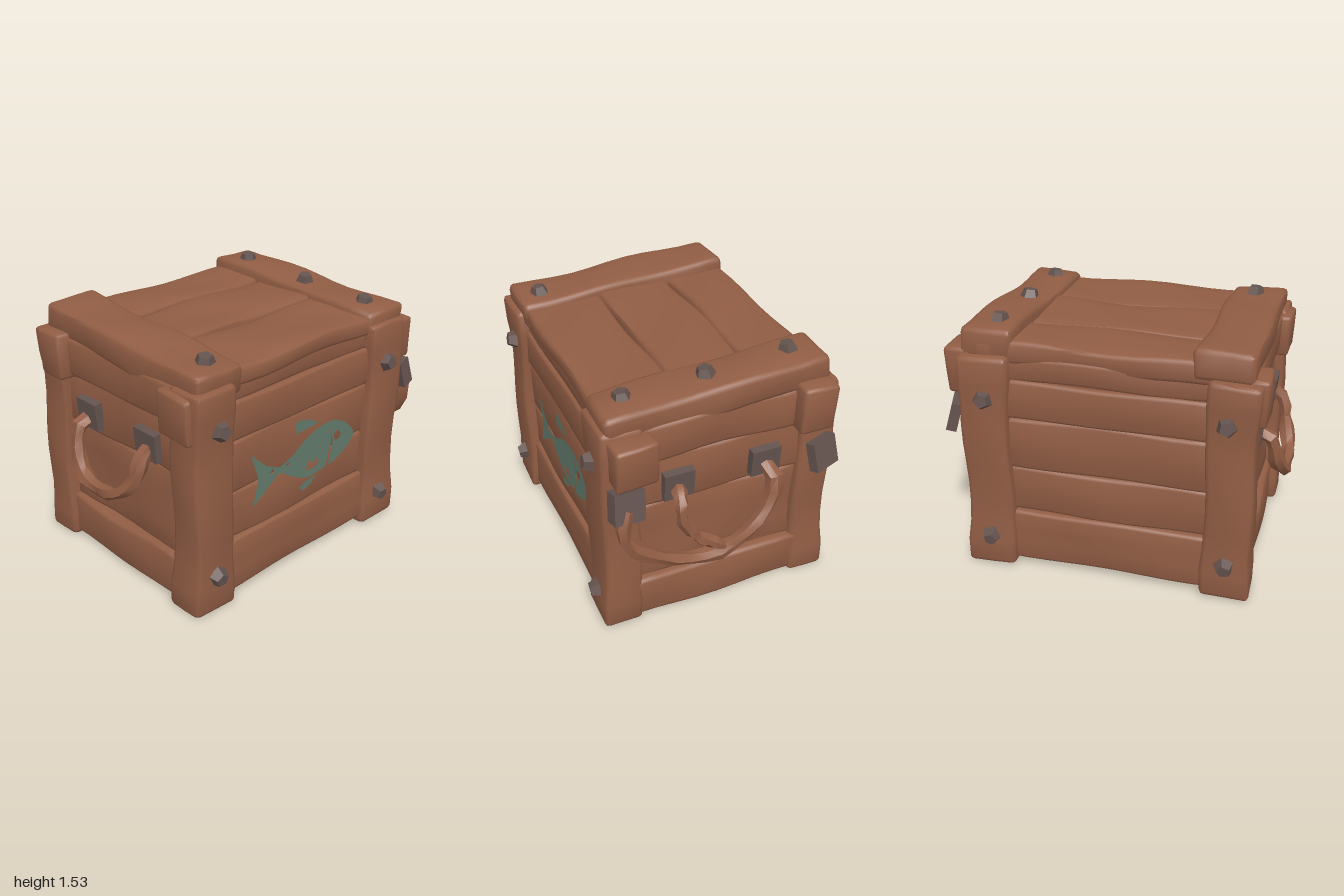
import * as THREE from 'three';
import { mergeVertices, toCreasedNormals } from 'three/addons/utils/BufferGeometryUtils.js';

const mat = (name, color, side = THREE.FrontSide) => {
  const m = new THREE.MeshStandardMaterial({ color, side });
  m.name = name;
  return m;
};

export function createModel() {
  const wood = mat('wood', 0x915d44);
  const metal = mat('iron', 0x64534f);
  const paint = mat('fishPaint', 0x627a6c, THREE.DoubleSide);
  const model = new THREE.Group();
  let seed = 0;

  const add = (name, geo, material, parent = model) => {
    const mesh = new THREE.Mesh(geo, material);
    mesh.name = name;
    parent.add(mesh);
    return mesh;
  };

  // Hand-hewn board between two corners: bevelled edges, wavy faces, optional flared foot and head
  const board = (name, [x0, x1], [y0, y1], [z0, z1], { r = 0.03, amp = 0.01, tilt = 0, flare = 0 } = {}) => {
    const size = [x1 - x0, y1 - y0, z1 - z0];
    const seg = size.map(s => Math.max(3, Math.round(s / 0.13) + 2));
    let g = new THREE.BoxGeometry(...size, ...seg);
    const p = g.attributes.position, s = ++seed * 1.7;
    const v = new THREE.Vector3(), inner = new THREE.Vector3();
    for (let i = 0; i < p.count; i++) {
      const c = [p.getX(i), p.getY(i), p.getZ(i)].map((q, a) => {
        const n = seg[a], h = size[a] / 2, k = Math.round((q / size[a] + 0.5) * n);
        if (k === 0) return -h;
        if (k === n) return h;
        return -h + r + (k - 1) / (n - 2) * (size[a] - 2 * r);
      });
      v.fromArray(c);
      inner.fromArray(c.map((q, a) => THREE.MathUtils.clamp(q, r - size[a] / 2, size[a] / 2 - r)));
      v.sub(inner);
      if (v.lengthSq() > 0) v.setLength(r);
      v.add(inner);
      const [x, y, z] = c;
      const swell = 1 + flare * THREE.MathUtils.smoothstep(Math.abs(2 * y / size[1]), 0.55, 0.75);
      v.x = v.x * swell + amp * Math.sin(7 * y + 6 * z + s);
      v.y += amp * Math.sin(8 * x + 7 * z + 2 * s);
      v.z = v.z * swell + amp * Math.sin(7 * x + 8 * y + 3 * s);
      p.setXYZ(i, v.x, v.y, v.z);
    }
    g.deleteAttribute('normal');
    g.deleteAttribute('uv');
    g = toCreasedNormals(mergeVertices(g), 0.9);
    const mesh = add(name, g, wood);
    mesh.position.set((x0 + x1) / 2, (y0 + y1) / 2, (z0 + z1) / 2);
    mesh.rotation.z = tilt;
  };
  const span = (s, a, b) => (s > 0 ? [a, b] : [-b, -a]);

  // Inner box and floor
  board('innerBox', [-0.61, 0.61], [0.03, 1.34], [-0.75, 0.75], { amp: 0.003, r: 0.02 });

  // Corner posts
  for (const sx of [-1, 1]) for (const sz of [-1, 1])
    board('cornerPost', span(sx, 0.475, 0.69), [0.01, 1.34], sz > 0 ? [0.58, 0.845] : [-0.82, -0.545],
      { r: 0.025, amp: 0.007, flare: 0.08 });

  // Side planks
  for (const sx of [-1, 1])
    for (const [y0, y1, out] of [[0.045, 0.37, 0.655], [0.37, 0.655, 0.635], [0.655, 0.97, 0.635], [0.97, 1.2, 0.645], [1.2, 1.34, 0.63]])
      board('sidePlank', span(sx, 0.55, out), [y0, y1], [-0.62, 0.64], { r: 0.02, amp: 0.005 });

  // End planks, front and back
  for (const sz of [-1, 1])
    for (const [y0, y1, out] of [[0.02, 0.285, 0.82], [0.28, 0.8, 0.775], [0.79, 1.11, 0.79], [1.1, 1.33, 0.82]])
      board('endPlank', [-0.53, 0.53], [y0, y1], span(sz, 0.68, out), { r: 0.025, amp: 0.007 });

  // Lid planks and the cross battens with hanging end blocks
  for (const [x0, x1, y] of [[-0.63, -0.265, 1.42], [-0.265, 0.19, 1.41], [0.19, 0.65, 1.395]])
    board('lidPlank', [x0, x1], [1.29, y], [-0.74, 0.74], { r: 0.025, amp: 0.009 });
  for (const sz of [-1, 1]) {
    const z = sz > 0 ? [0.49, 0.82] : [-0.82, -0.52];
    board('lidBatten', [-0.64, 0.66], [1.285, 1.455], z, { r: 0.03, amp: 0.008, tilt: -0.058 });
    board('battenBlock', [-0.63, -0.42], [1.085, 1.36], sz > 0 ? [0.74, 0.885] : [-0.91, -0.74], { r: 0.02, amp: 0.007 });
    board('battenBlock', [0.42, 0.66], [1.055, 1.31], sz > 0 ? [0.74, 0.88] : [-0.94, -0.74], { r: 0.02, amp: 0.007 });
  }

  // Iron studs: blunt faceted heads, each turned a little differently
  const studGeo = new THREE.CylinderGeometry(0.04, 0.062, 0.055, 5).toNonIndexed();
  studGeo.computeVertexNormals();
  const stud = (x, y, z, dir) => {
    const m = add('stud', studGeo, metal);
    m.position.set(x, y, z);
    m.quaternion.setFromUnitVectors(new THREE.Vector3(0, 1, 0), new THREE.Vector3(...dir).normalize());
    m.rotateY(x * 9 + y * 5 + z * 3);
  };
  for (const sx of [-1, 1])
    for (const [y, z] of [[1.11, 0.69], [0.23, 0.71], [1.1, -0.67], [0.2, -0.68]])
      stud(sx * 0.712, y, z, [sx, y > 1 ? 0.15 : -0.15, 0.1]);
  for (const [x, y, z] of [[-0.45, 1.495, -0.64], [0.04, 1.465, -0.65], [0.51, 1.44, -0.65], [0.53, 1.435, 0.64]])
    stud(x, y, z, [0.15, 1, 0.1]);

  // Iron handle plates, with two loose ones at the back corners
  const plate = (x, y, z, depth, rx = 0, ry = 0, rz = 0) => {
    const m = add('handlePlate', new THREE.BoxGeometry(0.175, 0.17, depth), metal);
    m.position.set(x, y, z);
    m.rotation.set(rx, ry, rz);
  };
  for (const x of [-0.26, 0.26]) {
    plate(x, 0.915, 0.81, 0.05, 0.08);
    plate(x, 0.915, -0.81, 0.05, -0.08);
  }
  plate(0.59, 0.94, -0.9, 0.09, 0.25, 0.1, 0.1);
  plate(-0.57, 0.935, -0.905, 0.06, 0.3, 0.32, -0.1);

  // Knobbly twisted handles
  const rope = (name, pts, radius = 0.045) => {
    const curve = new THREE.CatmullRomCurve3(pts.map(q => new THREE.Vector3(...q)));
    const n = 16, sides = 6, g = new THREE.TubeGeometry(curve, n, radius, sides);
    const p = g.attributes.position, c = new THREE.Vector3(), v = new THREE.Vector3();
    for (let i = 0; i <= n; i++) {
      curve.getPointAt(i / n, c);
      for (let j = 0; j <= sides; j++) {
        const k = i * (sides + 1) + j;
        const f = 0.92 + 0.16 * Math.sin(j / sides * Math.PI * 4 + i * 1.1) + 0.12 * Math.sin(i * 2.3);
        v.fromBufferAttribute(p, k).sub(c).multiplyScalar(f).add(c);
        p.setXYZ(k, v.x, v.y, v.z);
      }
    }
    g.deleteAttribute('normal');
    g.deleteAttribute('uv');
    add(name, toCreasedNormals(mergeVertices(g), 0.6), wood);
  };
  rope('frontHandle', [[-0.27, 0.88, 0.82], [-0.275, 0.86, 0.88], [-0.26, 0.73, 0.91], [-0.18, 0.62, 0.94],
    [-0.05, 0.575, 0.953], [0.12, 0.6, 0.945], [0.25, 0.72, 0.91], [0.28, 0.85, 0.88], [0.27, 0.9, 0.82]]);
  rope('backHandle', [[0.6, 0.93, -0.92], [0.63, 0.86, -0.94], [0.62, 0.74, -0.95], [0.48, 0.6, -0.95], [0.28, 0.5, -0.945],
    [0.05, 0.48, -0.945], [-0.16, 0.58, -0.93], [-0.27, 0.75, -0.91], [-0.28, 0.86, -0.89], [-0.26, 0.9, -0.82]]);
  rope('backHandleBranch', [[0.26, 0.9, -0.82], [0.28, 0.86, -0.89], [0.27, 0.74, -0.91], [0.2, 0.62, -0.92], [0.04, 0.5, -0.94]], 0.04);

  // Painted fish on the left side, drawn with the tail towards the front
  const vec = pts => pts.map(([a, b]) => new THREE.Vector2(a, b));
  const body = new THREE.Shape();
  body.moveTo(-0.19, 0.69);
  body.splineThru(vec([[-0.1, 0.72], [0.02, 0.79], [0.14, 0.83], [0.26, 0.835]]));
  body.lineTo(0.235, 0.77);
  body.splineThru(vec([[0.245, 0.69], [0.2, 0.545]]));
  body.splineThru(vec([[0.06, 0.53], [-0.05, 0.57], [-0.19, 0.655]]));
  for (const q of [[-0.4, 0.515], [-0.36, 0.68], [-0.42, 0.85], [-0.3, 0.74]]) body.lineTo(...q);
  const hole = pts => body.holes.push(new THREE.Path(vec(pts)));
  hole([[0.03, 0.58], [0.14, 0.58], [0.13, 0.64], [0.09, 0.61], [0.05, 0.64]]);
  hole([[-0.14, 0.68], [-0.11, 0.67], [-0.13, 0.71]]);
  hole([[-0.27, 0.68], [-0.24, 0.67], [-0.24, 0.71]]);
  const head = new THREE.Shape();
  head.moveTo(0.26, 0.835);
  head.splineThru(vec([[0.37, 0.78], [0.45, 0.69], [0.41, 0.62], [0.3, 0.56], [0.23, 0.545]]));
  head.splineThru(vec([[0.26, 0.68], [0.24, 0.77], [0.26, 0.835]]));
  head.holes.push(new THREE.Path().absarc(0.3, 0.72, 0.03, 0, Math.PI * 2, true));
  const fins = [
    [[-0.07, 0.92], [-0.03, 0.93], [0.05, 0.905], [0.13, 0.86], [-0.06, 0.85]],
    [[-0.02, 0.49], [0.03, 0.51], [0.12, 0.52], [0.08, 0.475], [0.01, 0.455]],
  ].map(f => new THREE.Shape(vec(f)));
  const fish = add('paintedFish', new THREE.ShapeGeometry([body, head, ...fins], 6), paint);
  fish.rotation.y = Math.PI / 2;
  fish.position.x = 0.648;

  return model;
}
